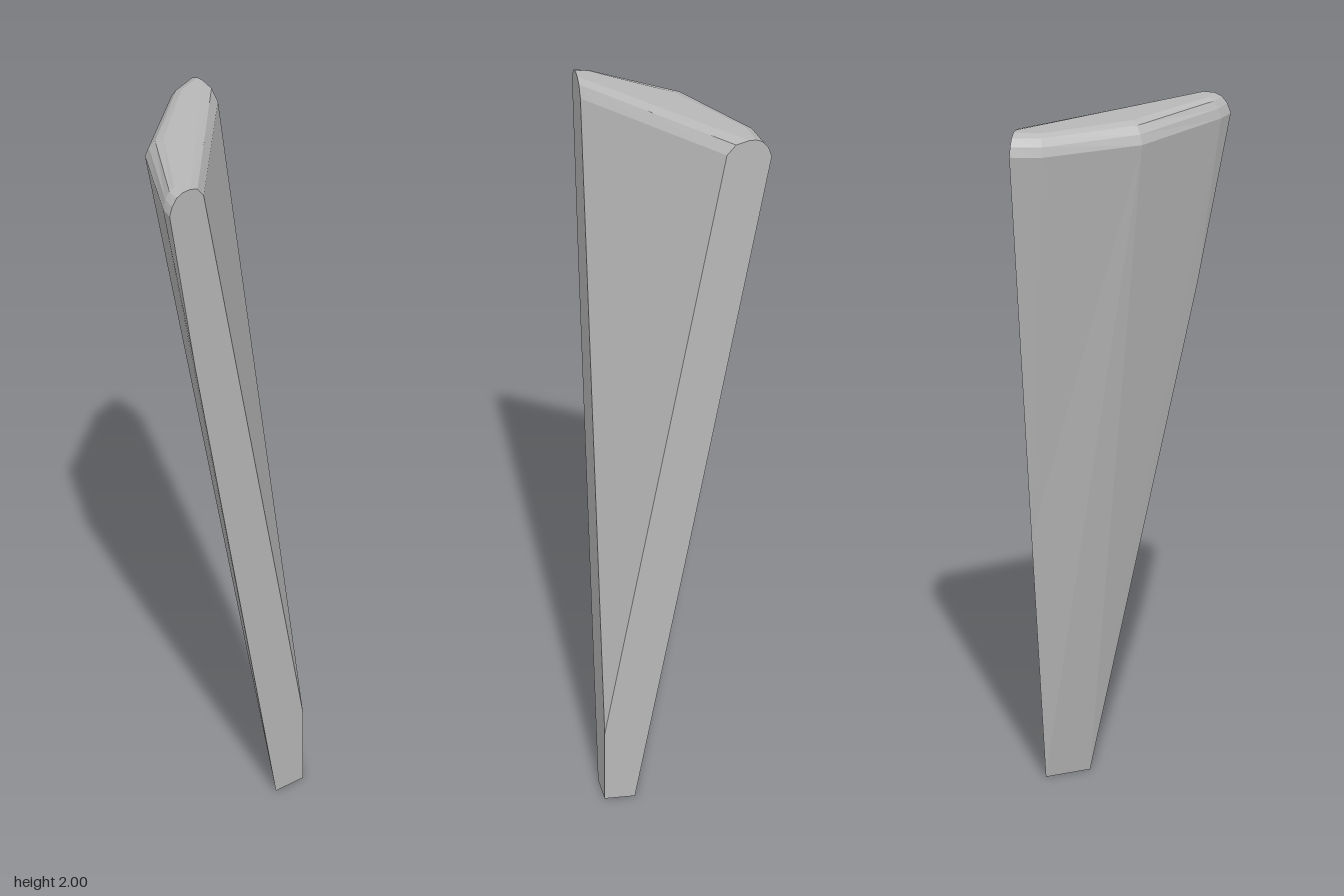
import * as THREE from 'three';

const stone = new THREE.MeshStandardMaterial({ color: 0xb8b8b8 });
stone.name = 'stoneGrey';
stone.flatShading = true;

// Mesh from convex polygons, each listed counter-clockwise seen from outside
function facets(name, polygons) {
  const pos = [];
  for (const p of polygons) {
    for (let i = 1; i < p.length - 1; i++) pos.push(...p[0], ...p[i], ...p[i + 1]);
  }
  const geo = new THREE.BufferGeometry();
  geo.setAttribute('position', new THREE.Float32BufferAttribute(pos, 3));
  geo.computeVertexNormals();
  const mesh = new THREE.Mesh(geo, stone);
  mesh.name = name;
  return mesh;
}

const lerp = (a, b, t) => a.map((v, i) => v + (b[i] - v) * t);

export function createModel() {
  const group = new THREE.Group();
  group.name = 'taperedShard';
  const X = 0.245, Z = 0.227;

  // Rim stations from the front cut round to the side cut:
  // outer edge, top edge (x, z) and position along the straight inner edge
  const stations = [
    { out: [-0.245, Z], top: [-0.2, Z], t: 0 },
    { out: [-0.23, 0.185], top: [-0.192, 0.19], t: 0.1 },
    { out: [-0.075, -0.05], top: [-0.04, -0.015], t: 0.46 },
    { out: [0.16, -0.205], top: [0.175, -0.17], t: 0.86 },
    { out: [X, -Z], top: [X, -0.185], t: 1 },
  ];
  // Inner rounding, given at both cut ends
  const innerEnds = [
    [[-0.17, 2, Z], [X, 2, -0.165]],
    [[-0.143, 1.99, Z], [X, 1.99, -0.13]],
    [[-0.12, 1.96, Z], [X, 1.96, -0.105]],
  ];
  const rim = stations.map(({ out, top, t }) => {
    const at = (f, y) => [out[0] + (top[0] - out[0]) * f, y, out[1] + (top[1] - out[1]) * f];
    return [
      at(0, 1.945), at(0.2, 1.972), at(0.55, 1.992), at(1, 2),
      ...innerEnds.map(([a, b]) => lerp(a, b, t)),
    ];
  });

  const rimFaces = [];
  for (let i = 0; i < rim.length - 1; i++) {
    for (let j = 0; j < rim[i].length - 1; j++) {
      rimFaces.push([rim[i][j], rim[i][j + 1], rim[i + 1][j + 1], rim[i + 1][j]]);
    }
  }
  group.add(facets('roundedRim', rimFaces));

  // Points where the outer ridges meet the cuts, and the narrow foot
  const leftBend = [-0.15, 1.43, Z], rightBend = [X, 0.75, 0];
  const footLeft = [0.145, 0, Z], footBack = [X, 0, 0.145], footCorner = [X, 0, Z];
  const apex = [X, 0.2, Z];
  const [a, b, c, d, e] = rim.map((r) => r[0]);

  group.add(facets('outerShell', [
    [a, b, leftBend],
    [b, c, footLeft, leftBend],
    [c, d, rightBend, footBack, footLeft],
    [d, e, rightBend],
  ]));

  // Slanted inside plane
  group.add(facets('innerFace', [[rim[0].at(-1), apex, rim.at(-1).at(-1)]]));

  // Flat cut sides and underside
  group.add(facets('frontCut', [[apex, ...[...rim[0]].reverse(), leftBend, footLeft, footCorner]]));
  group.add(facets('sideCut', [[apex, footCorner, footBack, rightBend, ...rim.at(-1)]]));
  group.add(facets('foot', [[footLeft, footBack, footCorner]]));
  return group;
}
